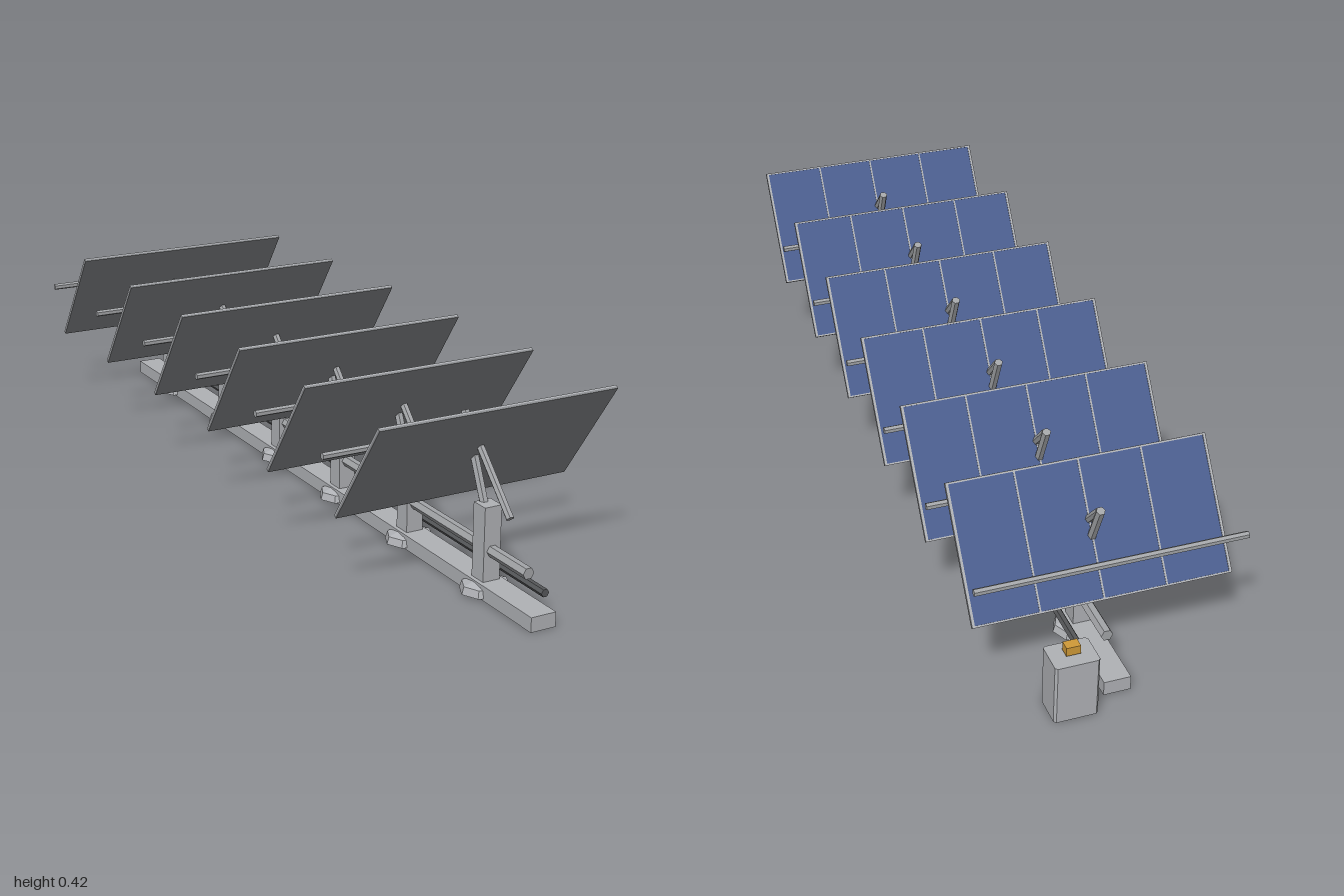
import * as THREE from 'three';

const material = (name, color, side = THREE.FrontSide) => {
  const m = new THREE.MeshStandardMaterial({ color, side });
  m.name = name;
  return m;
};

export function createModel() {
  const concrete = material('light grey', 0xb0b2b6);
  const steel = material('steel grey', 0xa3a5a8);
  const cable = material('dark grey', 0x56585a);
  const back = material('panel back grey', 0x8b8d90);
  const cell = material('cell blue', 0x4c5f8f);
  const amber = material('amber', 0xd09a38);
  const root = new THREE.Group();
  root.name = 'solarArray';

  const add = (parent, name, geometry, mat, x = 0, y = 0, z = 0) => {
    const mesh = new THREE.Mesh(geometry, mat);
    mesh.name = name;
    mesh.position.set(x, y, z);
    parent.add(mesh);
    return mesh;
  };
  const box = (parent, name, w, h, d, mat, x, y, z) =>
    add(parent, name, new THREE.BoxGeometry(w, h, d), mat, x, y, z);

  // Six-sided bar between two points
  const bar = (parent, name, a, b, r, mat) => {
    const from = new THREE.Vector3(...a), to = new THREE.Vector3(...b);
    const dir = to.clone().sub(from);
    const geo = new THREE.CylinderGeometry(r, r, dir.length(), 6).toNonIndexed();
    geo.rotateY(Math.PI / 2);
    geo.computeVertexNormals();
    const mid = from.clone().add(to).multiplyScalar(0.5);
    const mesh = add(parent, name, geo, mat, mid.x, mid.y, mid.z);
    mesh.quaternion.setFromUnitVectors(new THREE.Vector3(0, 1, 0), dir.normalize());
  };

  // Ground beam and the two long pipes
  box(root, 'groundBeam', 0.06, 0.033, 1.953, concrete, 0, 0.0165, 0.0235);
  bar(root, 'drivePipe', [0, 0.1, -0.89], [0, 0.1, 0.943], 0.0135, steel);
  bar(root, 'cableConduit', [0.043, 0.048, -0.908], [0.043, 0.048, 0.943], 0.0095, cable);

  // Faceted footing
  const footProfile = [[0, 0.001], [0.034, 0.001], [0.058, 0.005], [0.053, 0.022], [0.028, 0.03], [0, 0.031]];
  const footGeo = new THREE.LatheGeometry(footProfile.map(p => new THREE.Vector2(...p)), 8).toNonIndexed();
  footGeo.rotateY(Math.PI / 2);
  footGeo.scale(1, 1, 0.88);
  footGeo.computeVertexNormals();

  // Tilted panel, cells facing local -z
  const W = 0.574, H = 0.297;
  const makePanel = () => {
    const panel = new THREE.Group();
    panel.name = 'panel';
    box(panel, 'panelBack', W, H, 0.005, back, 0, 0, 0);
    box(panel, 'cellSheet', W - 0.006, H - 0.006, 0.002, cell, 0, 0, -0.0035);
    for (const x of [-0.14, 0, 0.14])
      box(panel, 'cellDivider', 0.004, H - 0.006, 0.002, concrete, x, 0, -0.0045);
    for (const s of [-1, 1]) {
      box(panel, 'sideFrame', 0.006, H, 0.004, concrete, s * (W / 2 - 0.003), 0, -0.0042);
      box(panel, 'edgeFrame', W, 0.004, 0.004, concrete, 0, s * (H / 2 - 0.002), -0.0042);
    }
    panel.rotation.x = 0.616;
    return panel;
  };

  // Six tracker units
  for (let i = 0; i < 6; i++) {
    const unit = new THREE.Group();
    unit.name = 'trackerUnit';
    unit.position.z = 0.79 - 0.305 * i;
    add(unit, 'footing', footGeo, concrete);
    box(unit, 'post', 0.041, 0.17, 0.043, concrete, 0, 0.114, 0);
    bar(unit, 'longStrut', [0, 0.193, 0.082], [0, 0.368, -0.087], 0.009, steel);
    bar(unit, 'shortStrut', [0, 0.195, -0.014], [0, 0.374, -0.094], 0.01, steel);
    bar(unit, 'crossRod', [-0.297, 0.298, -0.17], [0.297, 0.298, -0.17], 0.008, steel);
    const panel = makePanel();
    panel.position.set(0, 0.2965, -0.045);
    unit.add(panel);
    root.add(unit);
  }

  // Control cabinet with chamfered upright edges
  const w = 0.0485, d = 0.0375, c = 0.005;
  const outline = new THREE.Shape([
    [w - c, -d], [w, c - d], [w, d - c], [w - c, d], [c - w, d], [-w, d - c], [-w, c - d], [c - w, -d],
  ].map(p => new THREE.Vector2(...p)));
  const cabinet = new THREE.ExtrudeGeometry(outline, { depth: 0.14, bevelEnabled: false });
  cabinet.rotateX(-Math.PI / 2);
  add(root, 'controlCabinet', cabinet, concrete, 0.1085, 0, -0.9625);
  box(root, 'warningLamp', 0.031, 0.02, 0.023, amber, 0.108, 0.153, -0.96);
  return root;
}
